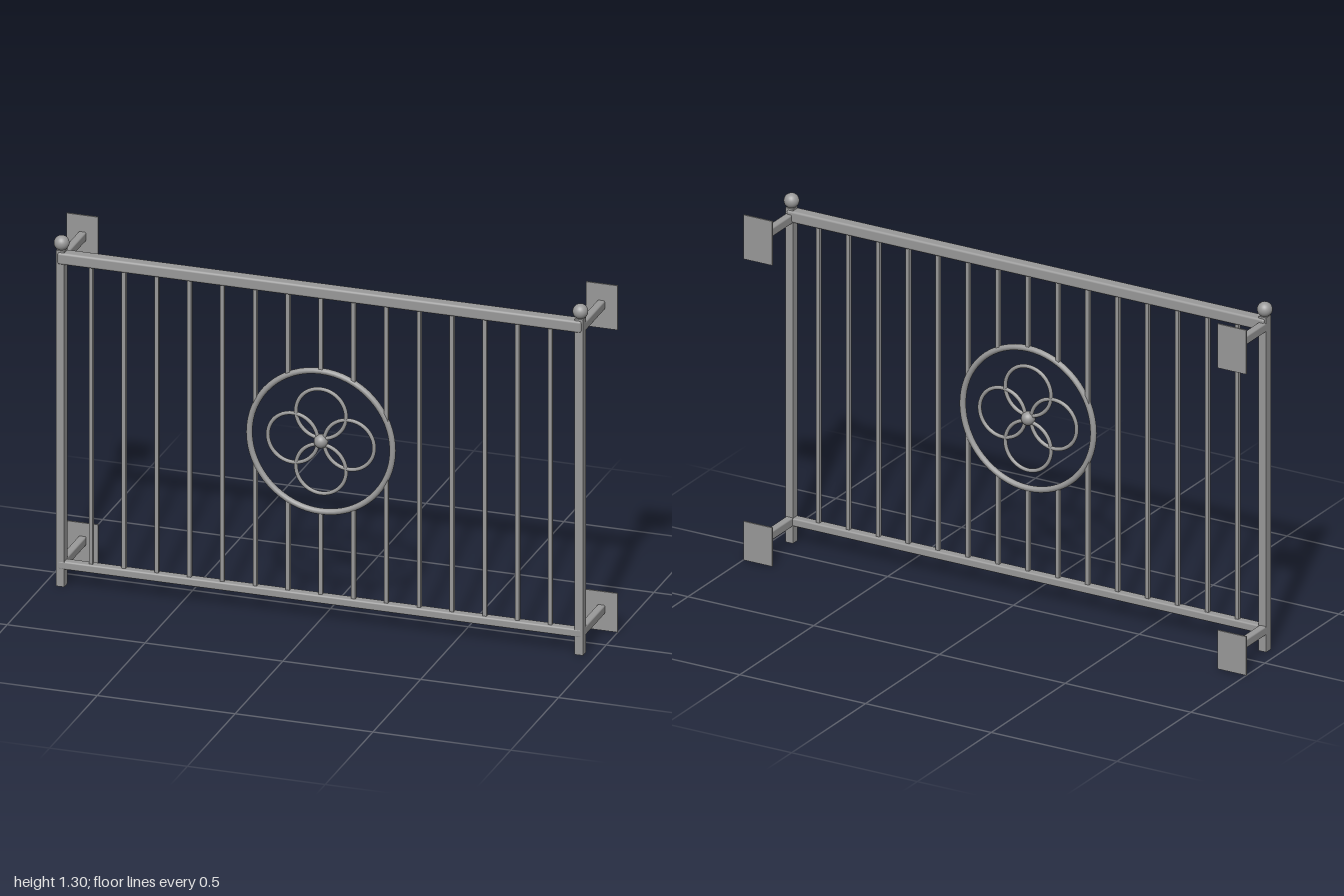
import * as THREE from 'three';
import { RoundedBoxGeometry } from 'three/addons/geometries/RoundedBoxGeometry.js';

export function createModel() {
  const group = new THREE.Group();
  group.name = 'balconyRailing';
  const iron = new THREE.MeshStandardMaterial({ color: 0x999999 });
  iron.name = 'grey iron';

  const Z = 0.1;        // plane of the railing
  const POST_X = 0.941;
  const CY = 0.66;      // height of the medallion centre
  const RING_R = 0.26;

  const add = (name, geometry, x, y, z) => {
    const mesh = new THREE.Mesh(geometry, iron);
    mesh.name = name;
    mesh.position.set(x, y, z);
    group.add(mesh);
    return mesh;
  };
  const box = (w, h, d) => new THREE.BoxGeometry(w, h, d);
  const softBox = (w, h, d, r) => new RoundedBoxGeometry(w, h, d, 2, r);

  // Horizontal rails
  add('topRail', softBox(1.9, 0.043, 0.045, 0.008), 0, 1.217, Z);
  add('bottomRail', softBox(1.9, 0.03, 0.034, 0.006), 0, 0.079, Z);

  // Posts, finials and wall brackets on both sides
  for (const side of [-1, 1]) {
    const label = side > 0 ? 'left' : 'right';
    const x = side * POST_X;
    add(label + 'Post', box(0.03, 1.245, 0.032), x, 0.6225, Z);
    add(label + 'Finial', new THREE.SphereGeometry(0.027, 24, 16), x, 1.269, Z);
    for (const [level, barY, plateY, plateH] of [
      ['Upper', 1.208, 1.203, 0.164],
      ['Lower', 0.079, 0.072, 0.144],
    ]) {
      add(label + level + 'Arm', softBox(0.028, 0.034, 0.21, 0.006), x, barY, -0.016);
      add(label + level + 'WallPlate', box(0.115, plateH, 0.006), side * 0.9425, plateY, -0.123);
    }
  }

  // Balusters, interrupted where the medallion sits
  const low = 0.085, high = 1.205;
  const baluster = (x, y0, y1) => add('baluster', box(0.014, y1 - y0, 0.014), x, (y0 + y1) / 2, Z);
  for (let i = -7; i <= 7; i++) {
    const x = i * 0.119;
    if (Math.abs(x) < RING_R) {
      const chord = Math.sqrt(RING_R * RING_R - x * x);
      baluster(x, low, CY - chord);
      baluster(x, CY + chord, high);
    } else {
      baluster(x, low, high);
    }
  }

  // Medallion: outer ring, four interlaced rings and a centre boss
  add('medallionRing', new THREE.TorusGeometry(RING_R, 0.011, 12, 64), 0, CY, Z);
  for (let i = 0; i < 4; i++) {
    const a = i * Math.PI / 2;
    add('petalRing', new THREE.TorusGeometry(0.091, 0.007, 10, 48),
      Math.cos(a) * 0.102, CY + Math.sin(a) * 0.102, Z);
  }
  add('centreBoss', new THREE.SphereGeometry(0.025, 24, 16), 0, CY, Z);

  return group;
}
